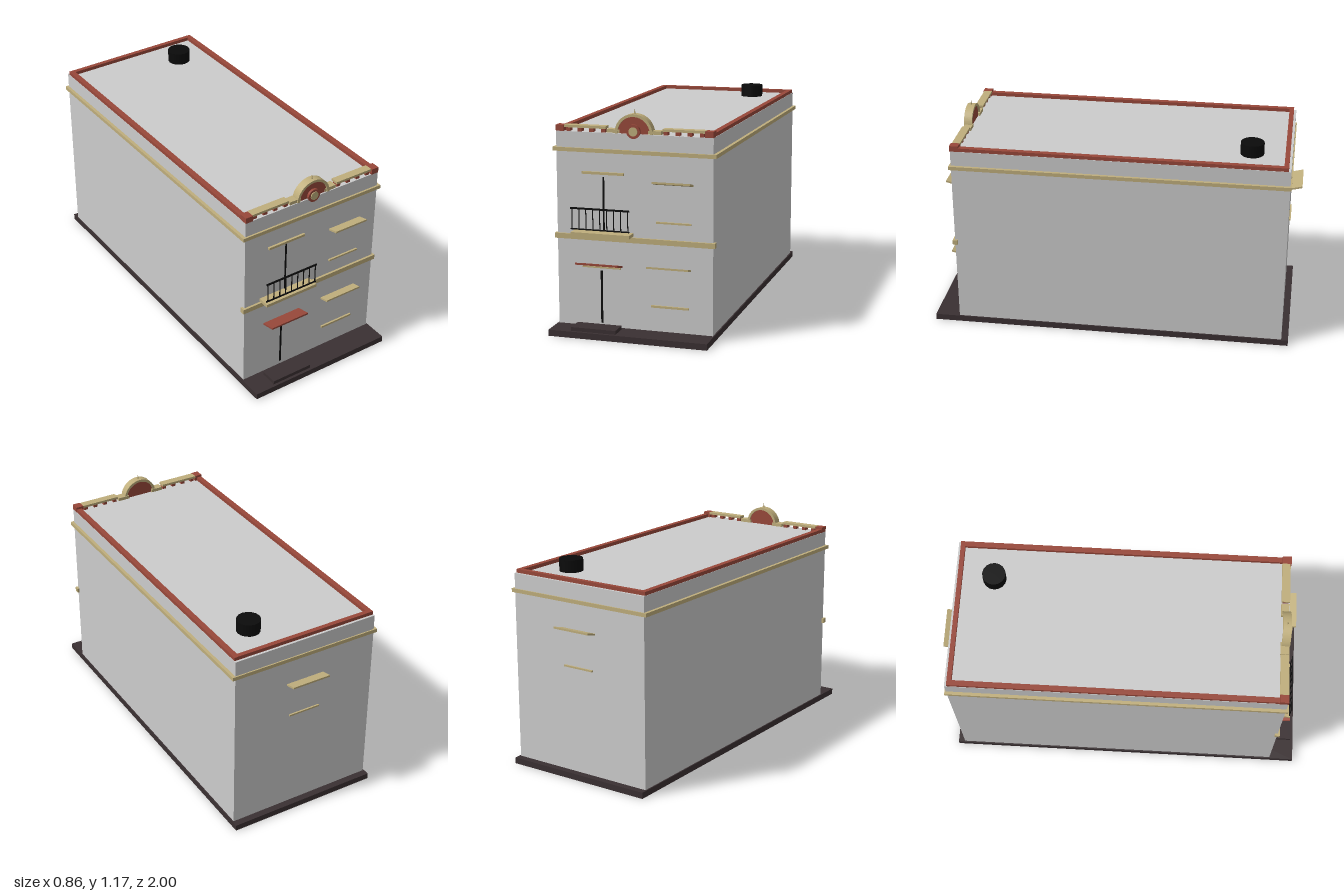
import * as THREE from 'three';

const mat = (name, color) => {
  const m = new THREE.MeshStandardMaterial({ color });
  m.name = name;
  return m;
};

export function createModel() {
  const wall = mat('pale wall', 0xcccccc);
  const stone = mat('sand stone', 0xbfae7c);
  const brick = mat('red brick', 0x98483a);
  const slate = mat('dark slate', 0x3a3032);
  const iron = mat('black iron', 0x0b0b0b);

  const model = new THREE.Group();
  model.name = 'townHouse';

  const add = (name, geo, material) => {
    const mesh = new THREE.Mesh(geo, material);
    mesh.name = name;
    model.add(mesh);
    return mesh;
  };
  // Box given by its limits on each axis
  const box = (name, material, x0, x1, y0, y1, z0, z1) => {
    const geo = new THREE.BoxGeometry(x1 - x0, y1 - y0, z1 - z0);
    geo.translate((x0 + x1) / 2, (y0 + y1) / 2, (z0 + z1) / 2);
    return add(name, geo, material);
  };
  // Slab whose far edge lifts away from the wall
  const awning = (name, material, x0, x1, y, zWall, zOuter, rise) => {
    const mesh = box(name, material, x0, x1, y, y + 0.01, Math.min(zWall, zOuter), Math.max(zWall, zOuter));
    const p = mesh.geometry.attributes.position;
    for (let i = 0; i < p.count; i++) {
      if (Math.abs(p.getZ(i) - zOuter) < 0.001) p.setY(i, p.getY(i) + rise);
    }
    mesh.geometry.computeVertexNormals();
  };
  const extrude = (name, material, shape, z0, z1) => {
    const geo = new THREE.ExtrudeGeometry(shape, { depth: z1 - z0, bevelEnabled: false, curveSegments: 20 });
    geo.translate(0, 0, z0);
    return add(name, geo, material);
  };

  // Ground slab, main block and bands
  box('baseSlab', slate, -0.422, 0.422, 0, 0.033, -0.975, 1);
  box('walls', wall, -0.415, 0.415, 0.033, 1.045, -0.938, 0.865);
  box('upperBand', stone, -0.432, 0.432, 0.943, 0.963, -0.945, 0.875);
  box('middleBand', stone, -0.427, 0.427, 0.489, 0.516, 0.85, 0.877);

  // Roof edging and chimney
  for (const s of [-1, 1]) {
    const side = (name, m, a, b, ...rest) => box(name, m, Math.min(s * a, s * b), Math.max(s * a, s * b), ...rest);
    side('roofEdgeSide', brick, 0.384, 0.413, 1.045, 1.064, -0.925, 0.822);
    side('cornerPost', brick, 0.372, 0.415, 1.045, 1.076, 0.82, 0.868);
    side('outerCoping', stone, 0.15, 0.372, 1.064, 1.077, 0.818, 0.862);
    side('innerCoping', stone, 0.075, 0.143, 1.047, 1.065, 0.818, 0.862);
    for (let i = 0; i < 4; i++) {
      const x = 0.165 + i * 0.0625;
      side('copingBlock', brick, x - 0.011, x + 0.011, 1.045, 1.064, 0.825, 0.857);
    }
  }
  box('roofEdgeBack', brick, -0.384, 0.384, 1.045, 1.064, -0.925, -0.9);
  const chimney = add('chimney', new THREE.CylinderGeometry(0.063, 0.063, 0.068, 16), iron);
  chimney.position.set(0.21, 1.078, -0.725);

  // Arched gable with rim, medallion and finial
  const archY = 1.046;
  const disc = new THREE.Shape();
  disc.absarc(0, archY, 0.087, 0, Math.PI, false);
  extrude('gablePanel', brick, disc, 0.83, 0.859);
  const rim = new THREE.Shape();
  rim.absarc(0, archY, 0.1, 0, Math.PI, false);
  rim.absarc(0, archY, 0.086, Math.PI, 0, true);
  extrude('gableRim', stone, rim, 0.822, 0.867);
  const ring = new THREE.Shape();
  ring.absarc(0, 1.058, 0.036, 0, Math.PI * 2, false);
  extrude('medallionRing', brick, ring, 0.859, 0.872);
  const heart = new THREE.Shape();
  heart.absarc(0, 1.058, 0.023, 0, Math.PI * 2, false);
  extrude('medallionCentre', stone, heart, 0.872, 0.876);
  const finial = add('finial', new THREE.ConeGeometry(0.006, 0.03, 8), stone);
  finial.position.set(0, 1.157, 0.845);

  // Balcony and its railing
  box('balconySlab', stone, -0.32, -0.005, 0.521, 0.538, 0.865, 0.93);
  box('railTop', iron, -0.32, -0.006, 0.658, 0.667, 0.922, 0.928);
  box('railBottom', iron, -0.32, -0.006, 0.552, 0.558, 0.922, 0.928);
  for (let i = 0; i < 9; i++) {
    const x = -0.312 + i * 0.0373;
    box('railBar', iron, x - 0.002, x + 0.002, 0.555, 0.66, 0.923, 0.927);
  }

  // Door seams, lintels and sills on the front
  box('balconyDoorSeam', iron, -0.167, -0.158, 0.538, 0.82, 0.864, 0.868);
  box('entranceDoorSeam', iron, -0.183, -0.172, 0.052, 0.33, 0.864, 0.8665);
  box('balconyDoorLintel', stone, -0.275, -0.052, 0.832, 0.845, 0.864, 0.877);
  box('entranceLintel', stone, -0.278, -0.074, 0.344, 0.352, 0.864, 0.874);
  box('upperSill', stone, 0.118, 0.303, 0.598, 0.607, 0.864, 0.875);
  box('lowerSill', stone, 0.09, 0.289, 0.159, 0.17, 0.864, 0.875);
  box('entranceStep', slate, -0.303, -0.064, 0.033, 0.053, 0.89, 0.985);

  // Sloping awnings
  awning('upperAwning', stone, 0.112, 0.312, 0.795, 0.864, 0.925, 0.016);
  awning('lowerAwning', stone, 0.08, 0.3, 0.358, 0.864, 0.92, 0.015);
  awning('entranceAwning', brick, -0.292, -0.064, 0.352, 0.864, 0.946, 0.021);

  // Rear window
  awning('rearAwning', stone, -0.109, 0.109, 0.795, -0.937, -1, 0.016);
  box('rearSill', stone, -0.09, 0.09, 0.6, 0.609, -0.947, -0.937);

  return model;
}
